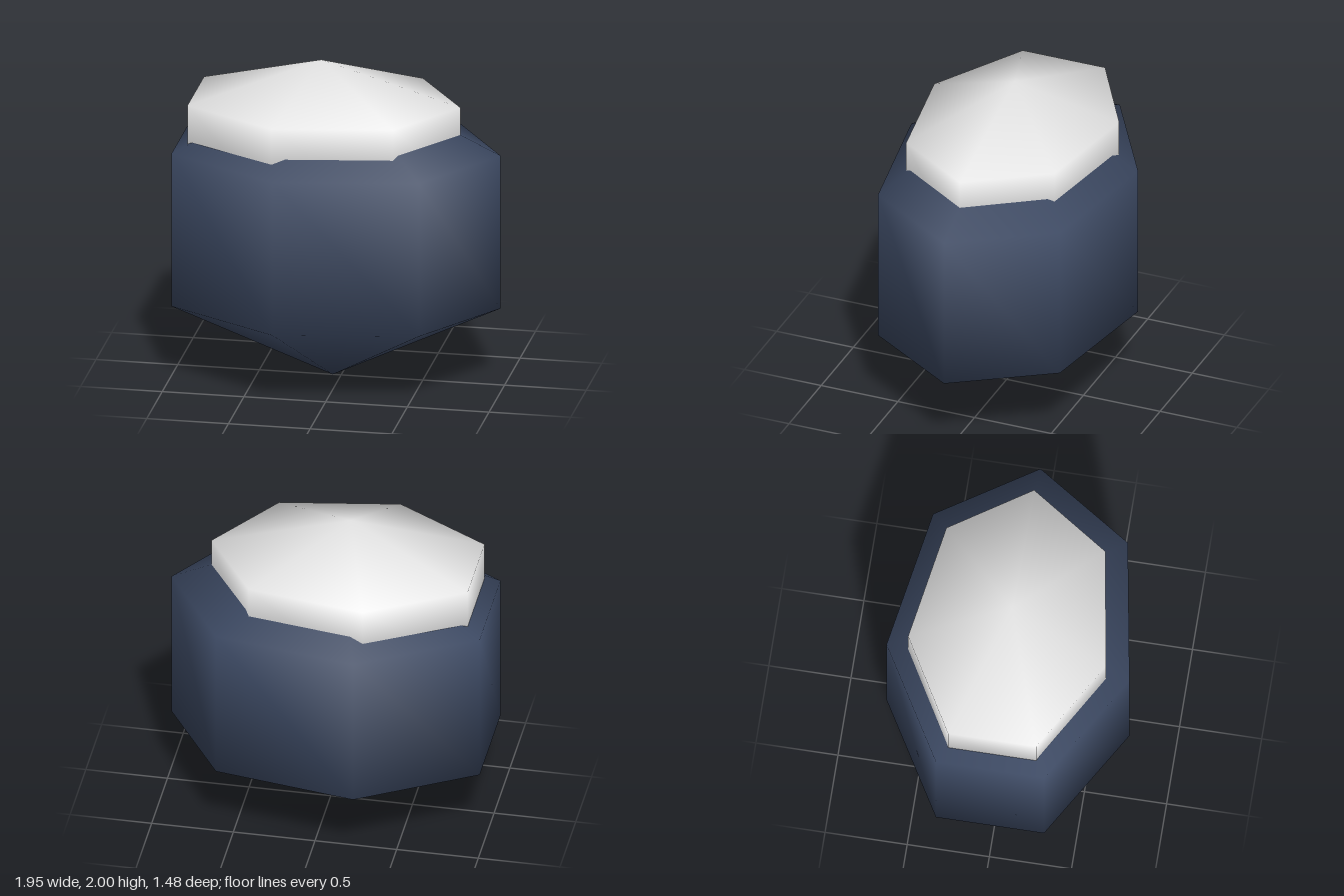
import * as THREE from 'three';

const navy = new THREE.MeshStandardMaterial({ color: 0x3d4a64 });
navy.name = 'navy';
const offWhite = new THREE.MeshStandardMaterial({ color: 0xe6e6e6 });
offWhite.name = 'offWhite';

// Seven-sided, three-band smooth ellipsoid with one corner pointing to +x
function ellipsoid(name, material, position, radii) {
  const geometry = new THREE.SphereGeometry(1, 7, 3, Math.PI);
  const mesh = new THREE.Mesh(geometry, material);
  mesh.name = name;
  mesh.position.set(...position);
  mesh.scale.set(...radii);
  return mesh;
}

export function createModel() {
  const model = new THREE.Group();
  model.name = 'cappedBoulder';
  // Large lower body
  model.add(ellipsoid('body', navy, [-0.051, 0.973, 0], [1.185, 0.973, 0.876]));
  // Flatter cap sunk into the top of the body
  model.add(ellipsoid('cap', offWhite, [-0.122, 1.5, 0], [0.984, 0.5, 0.714]));
  return model;
}
